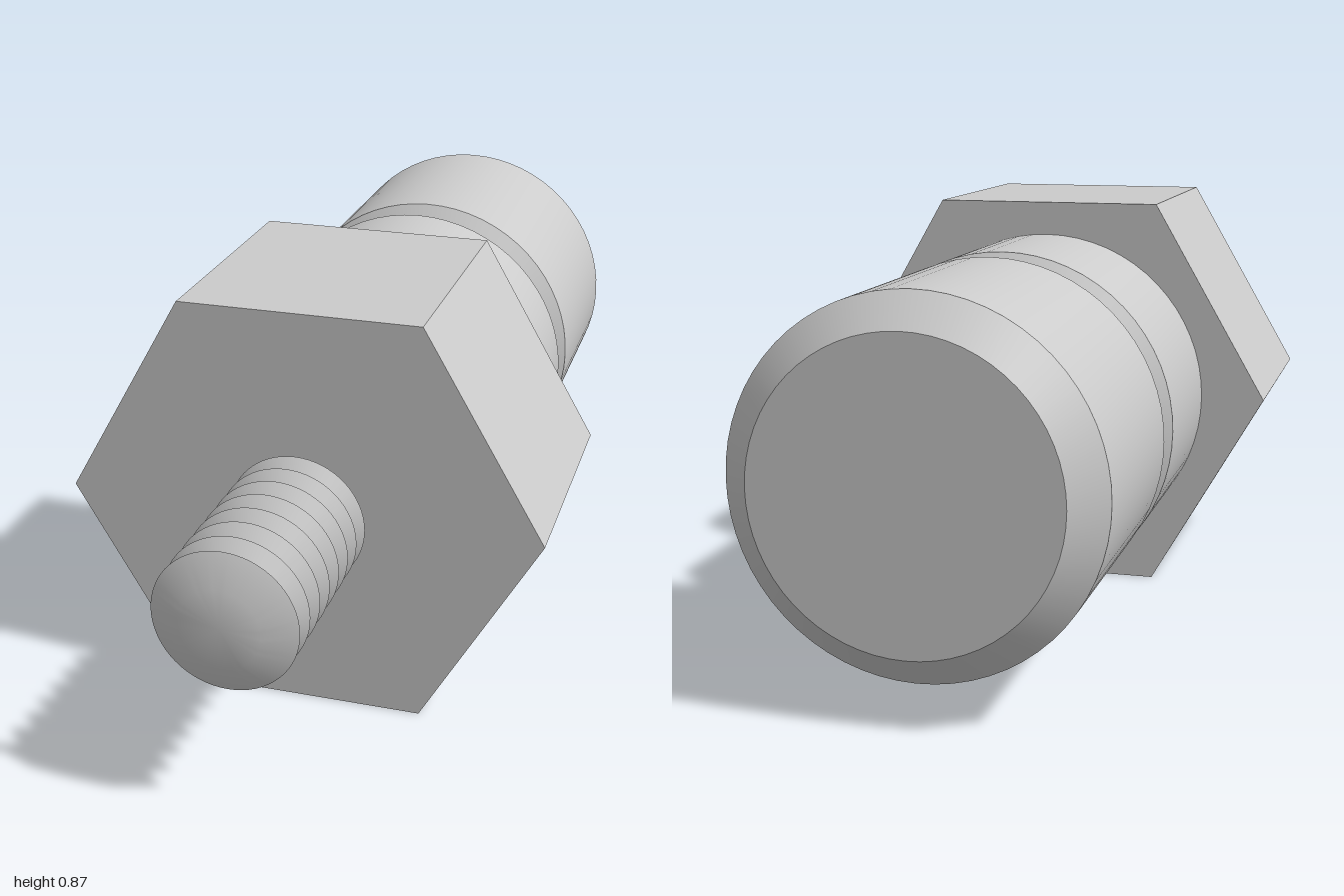
import * as THREE from 'three';
import { toCreasedNormals } from 'three/addons/utils/BufferGeometryUtils.js';

const AXIS_Y = 0.433; // height of the shared axis above the ground
const HEX_FRONT = 0.543;

export function createModel() {
  const group = new THREE.Group();
  const material = new THREE.MeshStandardMaterial({ color: 0xcccccc });

  const add = (name, geometry) => {
    geometry.rotateX(Math.PI / 2); // the geometry's y axis becomes +z
    const mesh = new THREE.Mesh(toCreasedNormals(geometry, 0.5), material);
    mesh.name = name;
    mesh.position.y = AXIS_Y;
    group.add(mesh);
  };

  // Turned part from [radius, z] pairs, running from back to front
  const turned = (profile) =>
    new THREE.LatheGeometry(profile.map(([r, z]) => new THREE.Vector2(r, z)), 64);

  // Hexagonal collar, corners pointing left and right
  const hex = new THREE.CylinderGeometry(0.5, 0.5, HEX_FRONT, 6, 1, false, Math.PI / 2);
  hex.translate(0, HEX_FRONT / 2, 0);
  add('hexCollar', hex);

  // Round body with chamfered back end and a V groove
  add('groovedBody', turned([
    [0, -1], [0.295, -1], [0.36, -0.94],
    [0.36, -0.457], [0.292, -0.41], [0.36, -0.362],
    [0.36, 0],
  ]));

  // Threaded stud: a row of V ridges and a chamfered tip
  const crest = 0.143, root = 0.108, ridges = 8, firstCrest = 0.572, pitch = 0.057;
  const thread = [[root, HEX_FRONT]];
  for (let i = 0; i < ridges; i++) {
    const z = firstCrest + i * pitch;
    thread.push([crest, z]);
    if (i < ridges - 1) thread.push([root, z + pitch / 2]);
  }
  thread.push([0.08, 1], [0, 1]);
  add('threadedStud', turned(thread));

  return group;
}
